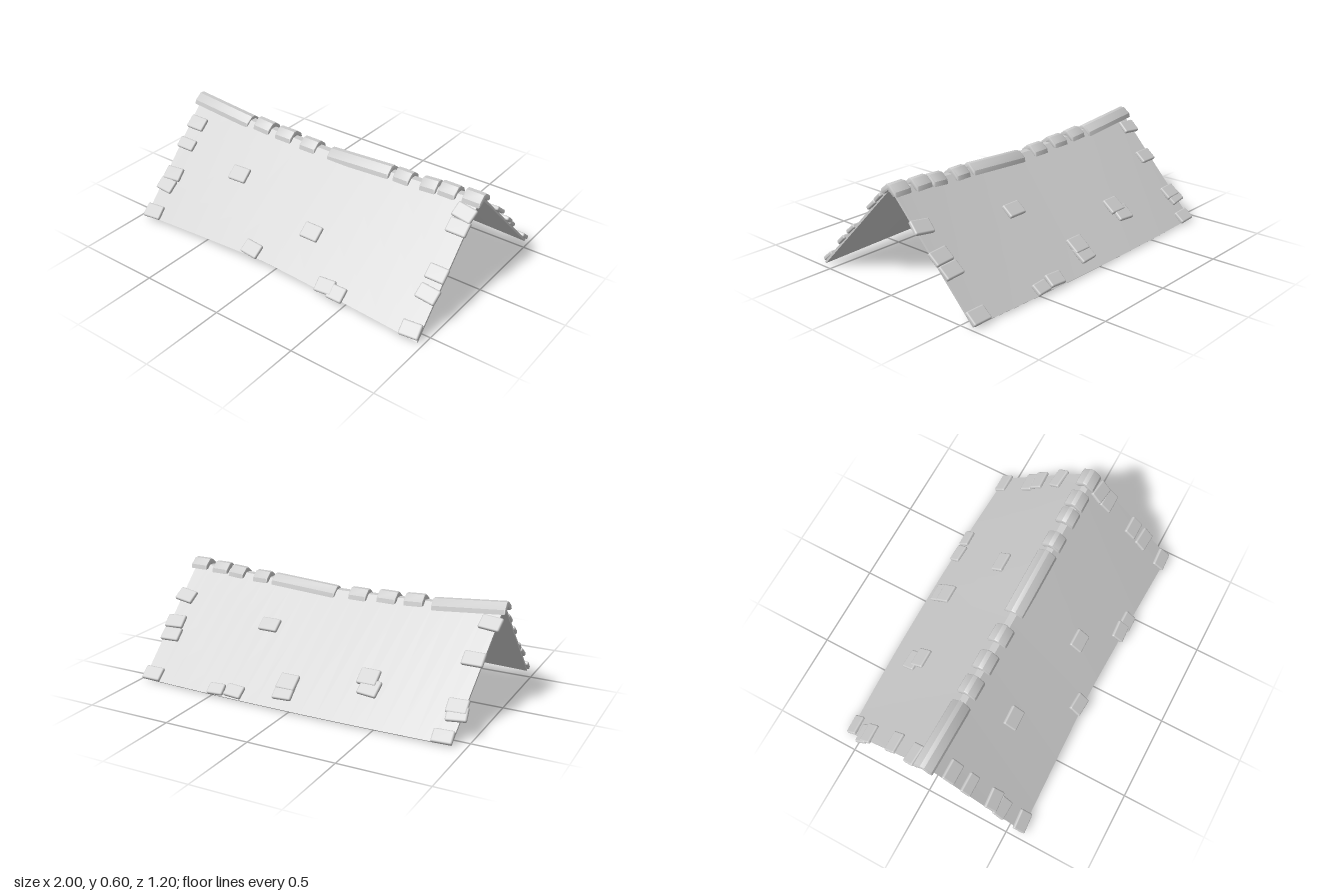
import * as THREE from 'three';
import { toCreasedNormals } from 'three/addons/utils/BufferGeometryUtils.js';
import { RoundedBoxGeometry } from 'three/addons/geometries/RoundedBoxGeometry.js';

const material = new THREE.MeshStandardMaterial({ color: 0xcccccc });
const lerp = THREE.MathUtils.lerp;

// Sagging lines of the roof, as functions of x
const ridgeY = x => 0.54 + 0.038 * Math.pow(Math.abs(x + 0.05), 1.5);
const eave = (x, front) => {
  const a = Math.abs(x + 0.05);
  return front
    ? { y: 0.056 - 0.035 * Math.pow(a, 1.2), z: 0.553 + 0.028 * Math.pow(a, 1.2) }
    : { y: 0.018, z: -0.597 + 0.026 * a * a };
};
const RIDGE_FRONT = 0.028, RIDGE_BACK = -0.01;

// Thin bent sheet: closed cross-sections joined along x
function roofGeometry() {
  const stations = 20, pos = [], index = [];
  for (let i = 0; i <= stations; i++) {
    const t = i / stations;
    const xs = [lerp(-0.955, 0.97, t), lerp(-0.975, 0.965, t), lerp(-0.975, 0.965, t), lerp(-0.925, 0.975, t)];
    const f = eave(xs[0], true), b = eave(xs[3], false), r = ridgeY(xs[1]);
    const top = [[f.y, f.z], [r, RIDGE_FRONT], [r, RIDGE_BACK], [b.y, b.z]];
    top.forEach(([y, z], k) => pos.push(xs[k], y, z));
    const under = [[-0.008, -0.01], [-0.016, -0.003], [-0.016, 0.003], [-0.008, 0.01]];
    for (let k = 3; k >= 0; k--) pos.push(xs[k], top[k][0] + under[k][0], top[k][1] + under[k][1]);
  }
  const quad = (a, b, c, d) => index.push(a, b, c, a, c, d);
  for (let i = 0; i < stations; i++) {
    for (let k = 0; k < 8; k++) {
      const n = (k + 1) % 8;
      quad(i * 8 + k, i * 8 + 8 + k, i * 8 + 8 + n, i * 8 + n);
    }
  }
  const e = stations * 8;
  for (let k = 0; k < 3; k++) {
    quad(k, k + 1, 6 - k, 7 - k);
    quad(e + 7 - k, e + 6 - k, e + k + 1, e + k);
  }
  const g = new THREE.BufferGeometry();
  g.setAttribute('position', new THREE.Float32BufferAttribute(pos, 3));
  g.setIndex(index);
  return toCreasedNormals(g, 0.4);
}

// Rounded slate lying on a slope, its lower edge slightly lifted
function makeShingle([x, z, w = 0.12, depth = 0.06, yaw = 0], front) {
  const e = eave(x, front), rz = front ? RIDGE_FRONT : RIDGE_BACK, ry = ridgeY(x);
  const y = lerp(ry, e.y, (z - rz) / (e.z - rz));
  const normal = new THREE.Vector3(0, Math.abs(e.z - rz), (ry - e.y) * (front ? 1 : -1)).normalize();
  const along = new THREE.Vector3(1, 0, 0);
  const mesh = new THREE.Mesh(new RoundedBoxGeometry(w, 0.024, depth * 1.4, 2, 0.009), material);
  mesh.quaternion.setFromRotationMatrix(
    new THREE.Matrix4().makeBasis(along, normal, along.clone().cross(normal)));
  mesh.rotateY(yaw);
  mesh.rotateX(front ? -0.08 : 0.08);
  mesh.position.set(x, y, z).addScaledVector(normal, 0.009);
  mesh.name = 'shingle';
  return mesh;
}

// Angled cap straddling the ridge, from x0 to x1 with its crest rising y0 to y1
function makeRidgeCap([x0, x1, y0, y1 = y0]) {
  const bevel = 0.008, length = x1 - x0;
  const shape = new THREE.Shape([
    [-0.05, -0.05], [-0.038, -0.05], [0, -0.022], [0.038, -0.05], [0.05, -0.05],
    [0.046, -0.037], [0.01, -0.008], [-0.01, -0.008], [-0.046, -0.037],
  ].map(p => new THREE.Vector2(...p)));
  const g = new THREE.ExtrudeGeometry(shape, {
    depth: length - 2 * bevel, bevelSize: bevel, bevelThickness: bevel, bevelSegments: 2,
  });
  g.translate(0, 0, bevel - length / 2).rotateY(Math.PI / 2);
  const mesh = new THREE.Mesh(toCreasedNormals(g, 0.6), material);
  mesh.position.set((x0 + x1) / 2, (y0 + y1) / 2, 0.005);
  mesh.rotation.z = Math.atan2(y1 - y0, length);
  mesh.name = 'ridgeCap';
  return mesh;
}

export function createModel() {
  const model = new THREE.Group();
  model.name = 'roof';

  const sheet = new THREE.Mesh(roofGeometry(), material);
  sheet.name = 'roofSheet';
  model.add(sheet);

  // Ridge caps: x0, x1, crest heights
  const caps = new THREE.Group();
  caps.name = 'ridgeCaps';
  [
    [-0.995, -0.575, 0.612, 0.574], [-0.53, -0.415, 0.585, 0.578], [-0.37, -0.255, 0.575],
    [-0.19, -0.08, 0.566], [0.005, 0.42, 0.558, 0.582], [0.45, 0.55, 0.584],
    [0.615, 0.715, 0.588, 0.595], [0.73, 0.835, 0.602], [0.875, 0.985, 0.61],
  ].forEach(c => caps.add(makeRidgeCap(c)));
  model.add(caps);

  // Shingles: x, z, width, depth seen from above, turn
  const slopes = {
    frontShingles: [
      [-0.915, 0.13], [-0.915, 0.23, 0.12, 0.05], [-0.905, 0.37, 0.12, 0.06, 0.1],
      [-0.915, 0.425, 0.115, 0.06, -0.05], [-0.91, 0.55, 0.12, 0.06, 0.1],
      [0.92, 0.09, 0.12, 0.06, -0.15], [0.92, 0.147, 0.12, 0.06], [0.92, 0.33, 0.115, 0.06],
      [0.92, 0.41, 0.12, 0.06, -0.08], [0.915, 0.55, 0.115, 0.06, 0.08],
      [-0.47, 0.26, 0.12, 0.065, 0.04], [0.14, 0.365, 0.115, 0.065],
      [-0.16, 0.525, 0.115, 0.06, -0.07], [0.365, 0.538, 0.11, 0.06, 0.08], [0.445, 0.545, 0.1, 0.06],
    ],
    backShingles: [
      [-0.935, -0.08, 0.12, 0.06, -0.1], [-0.905, -0.235], [-0.9, -0.43, 0.115, 0.06, 0.04],
      [-0.91, -0.46, 0.115, 0.06, 0.12], [-0.875, -0.555, 0.115, 0.055, 0.04],
      [0.925, -0.545, 0.12, 0.06], [0.92, -0.36, 0.12, 0.06, 0.04],
      [0.93, -0.3, 0.12, 0.06, 0.06], [0.935, -0.175, 0.12, 0.06, -0.15],
      [-0.405, -0.43, 0.115, 0.07, -0.08], [-0.38, -0.385, 0.115, 0.07],
      [0.065, -0.52, 0.115, 0.07, 0.05], [0.065, -0.475, 0.115, 0.07], [0.32, -0.235, 0.12, 0.06],
      [0.36, -0.56, 0.11, 0.055, -0.06], [0.475, -0.565, 0.1, 0.05, 0.05],
    ],
  };
  for (const [name, list] of Object.entries(slopes)) {
    const group = new THREE.Group();
    group.name = name;
    list.forEach(s => group.add(makeShingle(s, name === 'frontShingles')));
    model.add(group);
  }
  return model;
}
